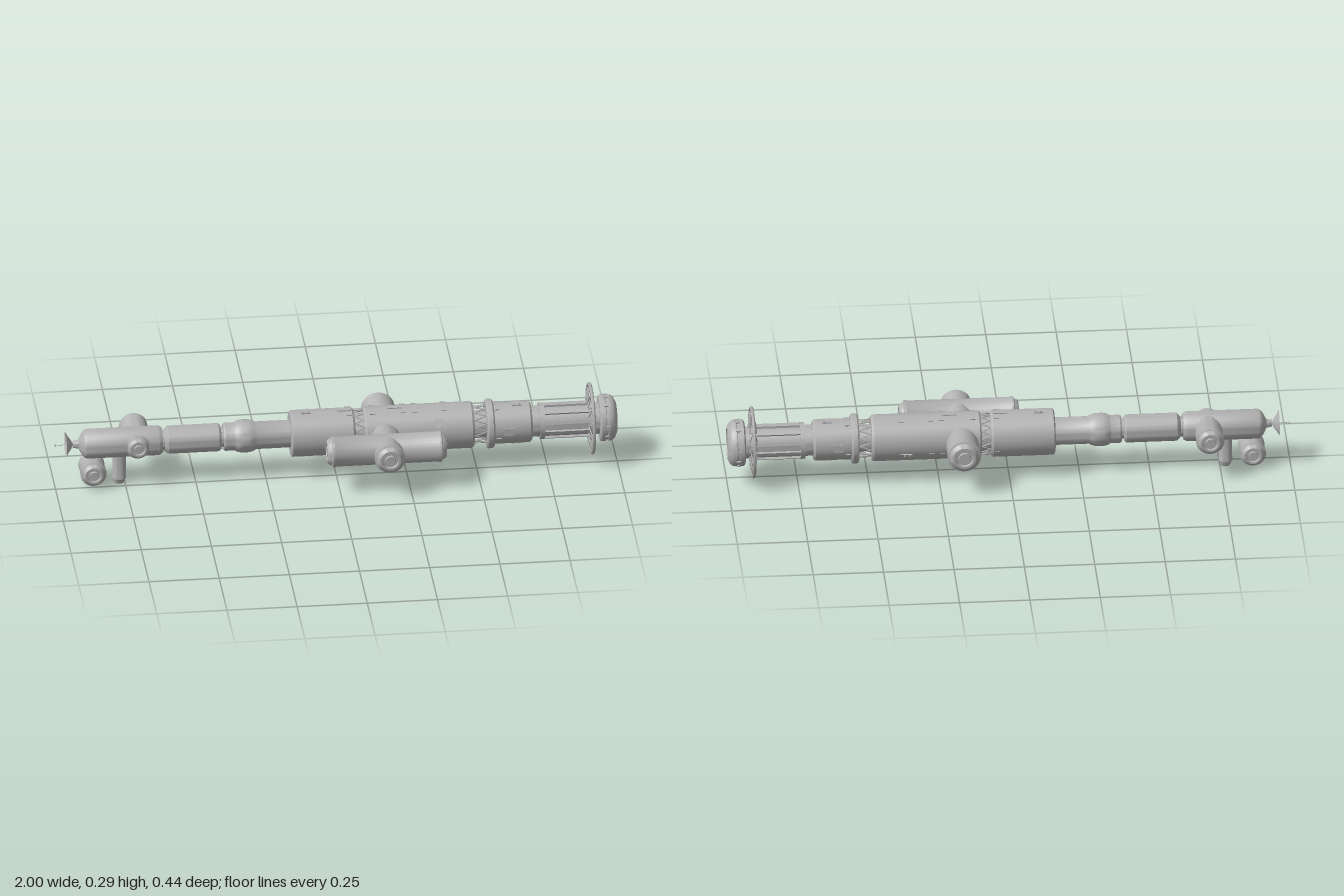
import * as THREE from 'three';
import { toCreasedNormals } from 'three/addons/utils/BufferGeometryUtils.js';

const hullMat = new THREE.MeshStandardMaterial({ color: 0xb2b2b2 });
hullMat.name = 'hull grey';
const thinMat = hullMat.clone();
thinMat.side = THREE.DoubleSide;

const AX_Y = 0.157, AX_Z = -0.034; // main axis of the station

export function createModel() {
  const root = new THREE.Group();
  root.name = 'spaceStation';
  const spine = new THREE.Group();
  spine.name = 'mainSpine';
  spine.position.set(0, AX_Y, AX_Z);
  root.add(spine);

  const add = (parent, name, geo, mat = hullMat) => {
    const m = new THREE.Mesh(geo, mat);
    m.name = name;
    parent.add(m);
    return m;
  };
  // Turned body along +y from [axial, radius] pairs
  const turned = (pts, seg = 36) => toCreasedNormals(
    new THREE.LatheGeometry(pts.map(([a, r]) => new THREE.Vector2(r, a)), seg), 0.55);
  // Turned body along +x, on the main axis
  const onSpine = (name, pts, seg, mat) => add(spine, name, turned(pts, seg).rotateZ(-Math.PI / 2), mat);
  // Module of half length h with docking ports, along a chosen direction
  const port = (h, r) => [[h - 0.03, r], [h - 0.027, r * 1.03], [h - 0.018, r * 1.03], [h - 0.015, r * 0.9],
    [h - 0.006, r * 0.82], [h, r * 0.7], [h, r * 0.55], [h - 0.007, r * 0.5], [h - 0.007, r * 0.36],
    [h - 0.001, r * 0.32], [h - 0.001, 0]];
  const moduleBody = (name, from, to, r, portAtStart = true) => {
    const len = from.distanceTo(to), h = len / 2;
    const end = port(h, r);
    const start = portAtStart ? end.map(([a, q]) => [-a, q]).reverse() : [[-h, 0], [-h, r]];
    const m = add(root, name, turned([...start, ...end], 32));
    m.position.copy(from).add(to).multiplyScalar(0.5);
    m.quaternion.setFromUnitVectors(new THREE.Vector3(0, 1, 0), to.clone().sub(from).normalize());
    return m;
  };
  const V = (x, y, z) => new THREE.Vector3(x, y, z);
  const strut = (name, a, b, r) => {
    const m = add(spine, name, new THREE.CylinderGeometry(r, r, a.distanceTo(b), 5));
    m.position.copy(a).add(b).multiplyScalar(0.5);
    m.quaternion.setFromUnitVectors(V(0, 1, 0), b.clone().sub(a).normalize());
  };
  const polar = (x, r, t) => V(x, r * Math.cos(t), r * Math.sin(t));
  // Zigzag struts between two circles
  const zigzag = (name, x0, r0, x1, r1, n, r) => {
    for (let i = 0; i < n; i++) {
      const t = (i / n) * Math.PI * 2, d = Math.PI / n;
      strut(name, polar(x0, r0, t), polar(x1, r1, t + d), r);
      strut(name, polar(x1, r1, t + d), polar(x0, r0, t + 2 * d), r);
    }
  };
  // Small box lying on the hull at angle t (0 = top, PI/2 = front)
  const fitting = (name, x, r, t, lx, h, w) => {
    const m = add(spine, name, new THREE.BoxGeometry(lx, h, w));
    m.position.copy(polar(x, r, t));
    m.rotation.x = t;
  };

  // Tail section: nose, three slim modules and necks
  onSpine('tailModule', [[-0.935, 0], [-0.935, 0.012], [-0.915, 0.016], [-0.905, 0.036], [-0.895, 0.049],
    [-0.885, 0.053], [-0.63, 0.053], [-0.618, 0.046], [-0.618, 0.036], [-0.6, 0.036]]);
  onSpine('slimModule', [[-0.61, 0.036], [-0.603, 0.044], [-0.597, 0.05], [-0.417, 0.05], [-0.41, 0.044],
    [-0.408, 0.036], [-0.395, 0.036]]);
  onSpine('neckModule', [[-0.4, 0.036], [-0.4, 0.046], [-0.394, 0.05], [-0.36, 0.05], [-0.35, 0.056], [-0.335, 0.059],
    [-0.31, 0.059], [-0.295, 0.055], [-0.283, 0.049], [-0.15, 0.049]]);

  // Antenna dish and feed
  onSpine('antennaDish', [[-0.96, 0.046], [-0.952, 0.03], [-0.942, 0.017], [-0.934, 0]], 24, thinMat);
  strut('antennaFeed', V(-0.94, 0, 0), V(-0.998, 0, 0), 0.001);
  onSpine('antennaTip', [[-1, 0], [-1, 0.004], [-0.995, 0.004], [-0.995, 0]], 10);

  // Wide central hulls and the joint between them
  onSpine('rearHull', [[-0.162, 0.046], [-0.162, 0.076], [-0.157, 0.083], [0.058, 0.083], [0.066, 0.076], [0.066, 0.06]], 48);
  onSpine('hullJoint', [[0.06, 0.064], [0.105, 0.064]], 48);
  zigzag('jointTruss', 0.066, 0.073, 0.1, 0.073, 16, 0.0025);
  onSpine('mainHull', [[0.1, 0.06], [0.1, 0.077], [0.106, 0.083], [0.482, 0.083], [0.49, 0.077], [0.49, 0.04]], 48);
  onSpine('forwardJoint', [[0.485, 0.05], [0.54, 0.05]]);
  zigzag('forwardTruss', 0.49, 0.066, 0.536, 0.066, 14, 0.0025);

  // Forward hull with its collars
  onSpine('forwardCollar', [[0.535, 0.045], [0.535, 0.083], [0.54, 0.088], [0.556, 0.088], [0.562, 0.082], [0.562, 0.07]], 48);
  onSpine('forwardHull', [[0.56, 0.073], [0.69, 0.073], [0.697, 0.066], [0.697, 0.055], [0.725, 0.055],
    [0.725, 0.065], [0.742, 0.065], [0.742, 0.056], [0.9, 0.056], [0.9, 0.064], [0.918, 0.064], [0.918, 0.056], [0.945, 0.056]], 40);
  for (let i = 0; i < 10; i++) fitting('hullRail', 0.82, 0.06, (i / 10) * Math.PI * 2, 0.165, 0.008, 0.012);

  // End docking cap
  onSpine('dockingCap', [[0.938, 0.05], [0.938, 0.076], [0.943, 0.083], [0.958, 0.083], [0.96, 0.079], [0.966, 0.079],
    [0.968, 0.083], [0.982, 0.081], [0.992, 0.073], [0.997, 0.062], [1, 0.056], [1, 0.052],
    [0.993, 0.049], [0.993, 0.046], [0.997, 0.044], [0.997, 0]], 48);
  for (let i = 0; i < 12; i++) fitting('capLatch', 0.962, 0.082, (i / 12) * Math.PI * 2, 0.02, 0.006, 0.012);

  // Open ring on zigzag spokes
  const ring = add(spine, 'trussRing', new THREE.TorusGeometry(0.122, 0.0065, 6, 32).rotateY(Math.PI / 2));
  ring.position.x = 0.91;
  zigzag('ringSpoke', 0.897, 0.062, 0.91, 0.12, 12, 0.0025);
  zigzag('ringSpoke', 0.923, 0.058, 0.91, 0.12, 12, 0.002);

  // Cross-shaped module group at the middle
  moduleBody('backModule', V(0.17, AX_Y, AX_Z), V(0.17, AX_Y, -0.218), 0.058, false);
  moduleBody('frontModule', V(0.17, AX_Y, AX_Z), V(0.17, AX_Y, 0.22), 0.053, false);
  moduleBody('crossModule', V(-0.047, AX_Y, 0.122), V(0.377, AX_Y, 0.122), 0.054);

  // Side node and hanging modules at the tail
  moduleBody('tailBackModule', V(-0.707, AX_Y, AX_Z), V(-0.707, AX_Y, -0.172), 0.049, false);
  moduleBody('tailFrontPort', V(-0.707, AX_Y, AX_Z), V(-0.707, AX_Y, 0.034), 0.042, false);
  moduleBody('hangingModule', V(-0.865, 0.056, -0.09), V(-0.865, 0.056, 0.026), 0.045);
  moduleBody('hangingPost', V(-0.77, 0.13, AX_Z), V(-0.77, 0, AX_Z), 0.024, false);

  // Hatches: a frame with two bars, on the wide hulls
  const hatches = [[-0.105, 0.083, 0], [-0.105, 0.083, Math.PI], [0.365, 0.083, 1.0], [0.365, 0.083, -2.1],
    [0.645, 0.073, 0], [0.61, 0.073, Math.PI / 2], [0.645, 0.073, Math.PI], [0.61, 0.073, -Math.PI / 2]];
  for (const [x, r, t] of hatches) {
    fitting('hatchPlate', x, r, t, 0.034, 0.006, 0.03);
    for (const s of [-1, 1]) fitting('hatchBar', x + s * 0.009, r + 0.003, t, 0.006, 0.006, 0.024);
  }
  // Handholds in rows around the hulls
  for (const [x, r, n] of [[0.045, 0.083, 8], [0.13, 0.083, 8], [0.24, 0.083, 8], [0.28, 0.083, 8], [0.385, 0.083, 8], [0.575, 0.073, 8]])
    for (let i = 0; i < n; i++) fitting('handhold', x, r, ((i + 0.5) / n) * Math.PI * 2, 0.018, 0.006, 0.005);
  // Raised top and bottom panels
  for (const t of [0, Math.PI]) for (const x of [0.03, 0.21])
    fitting('servicePanel', x, 0.083, t, 0.05, 0.006, 0.02);

  return root;
}
